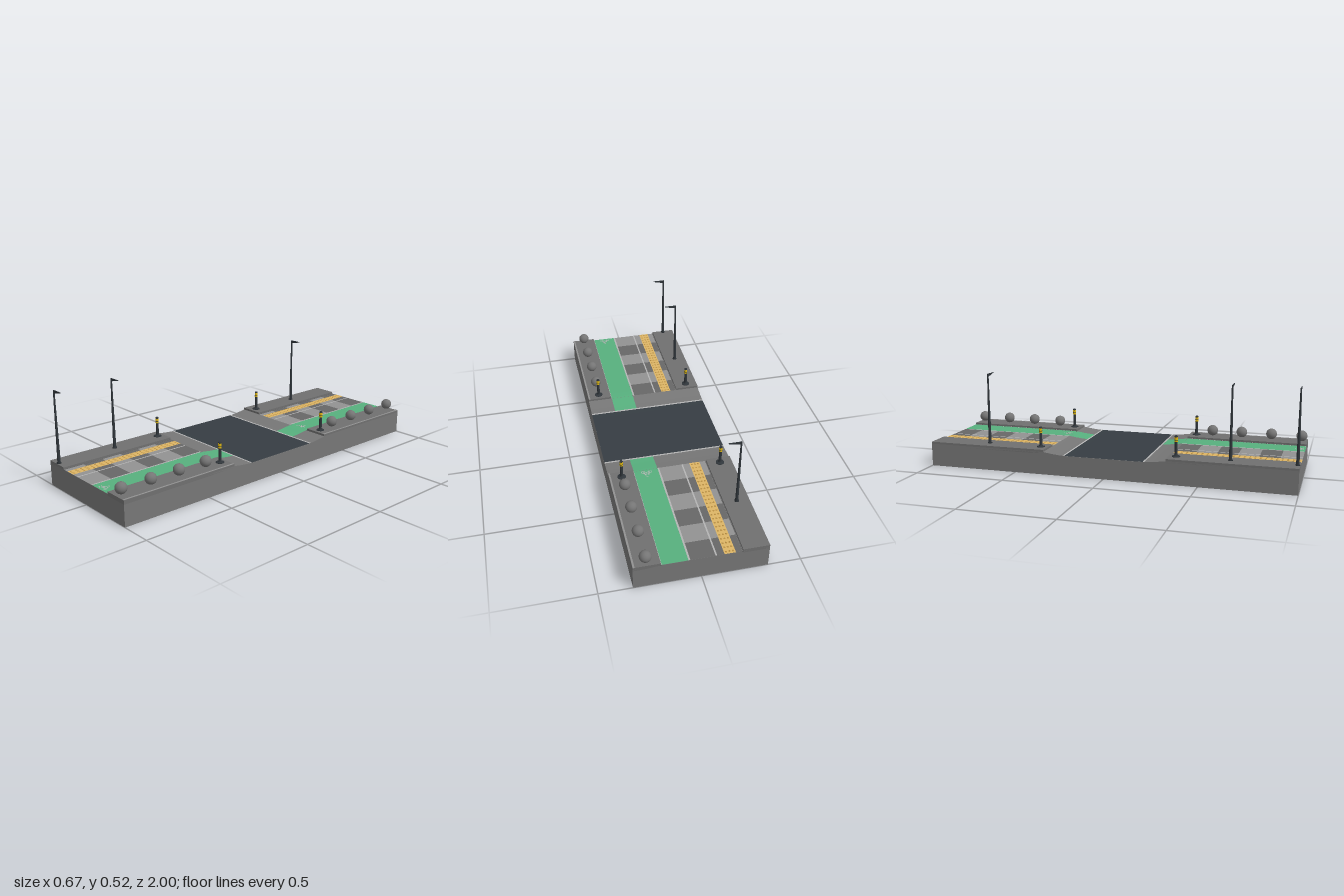
import * as THREE from 'three';
import { mergeGeometries } from 'three/addons/utils/BufferGeometryUtils.js';

const mat = (color, extra = {}) => new THREE.MeshStandardMaterial({ color, ...extra });
const M = {
  concrete: mat(0x777777), paving: mat(0x707070), slabLight: mat(0x929292), slabDark: mat(0x676767),
  line: mat(0xb4b4b4), asphalt: mat(0x363d43), green: mat(0x57b07e), tactile: mat(0xdcb566),
  stud: mat(0xb98f42), metal: mat(0x30363b), yellow: mat(0xe0b810), stone: mat(0x757575),
};
const W = 0.333, PATH = 0.1235, ROAD = 0.11, WALK = 0.135, RAMP = 0.335;

// ground height along the street: flat path, curved ramp, flat road
function height(z) {
  const t = THREE.MathUtils.clamp((Math.abs(z) - 0.2) / (RAMP - 0.2), 0, 1);
  return ROAD + (PATH - ROAD) * Math.pow(t, 1.6);
}

function add(parent, name, geometry, material, x = 0, y = 0, z = 0) {
  const mesh = new THREE.Mesh(geometry, material);
  mesh.name = name;
  mesh.position.set(x, y, z);
  parent.add(mesh);
  return mesh;
}

// thin surface strip that follows the ground
function strip(parent, name, material, x0, x1, z0, z1, lift) {
  const g = new THREE.PlaneGeometry(x1 - x0, z1 - z0, 1, 24).rotateX(-Math.PI / 2);
  g.translate((x0 + x1) / 2, 0, (z0 + z1) / 2);
  const p = g.attributes.position;
  for (let i = 0; i < p.count; i++) p.setY(i, height(p.getZ(i)) + lift);
  g.computeVertexNormals();
  return add(parent, name, g, material);
}

function lathe(points, segments = 20) {
  return new THREE.LatheGeometry(points.map(([r, y]) => new THREE.Vector2(r, y)), segments);
}

function bollard(x, z) {
  const b = new THREE.Group();
  b.name = 'bollard';
  b.position.set(x, WALK, z);
  const flat = M.metalFlat ??= mat(0x30363b, { flatShading: true });
  add(b, 'bollardPost', lathe([[0, 0], [0.022, 0], [0.022, 0.003], [0.011, 0.006], [0.008, 0.012],
    [0.0075, 0.104], [0.0085, 0.104], [0.0085, 0.108], [0.006, 0.111], [0, 0.112]]), flat);
  for (const [y, h] of [[0.082, 0.009], [0.096, 0.013]])
    add(b, 'bollardBand', new THREE.CylinderGeometry(0.0088, 0.0088, h, 20), M.yellow, 0, y, 0);
  add(b, 'bollardRing', new THREE.CylinderGeometry(0.0092, 0.0092, 0.003, 20), M.metal, 0, 0.088, 0);
  return b;
}

function lamp(z) {
  const l = new THREE.Group();
  l.name = 'streetLamp';
  l.position.set(-0.267, WALK, z);
  add(l, 'lampPole', lathe([[0, 0], [0.012, 0], [0.012, 0.004], [0.0085, 0.006],
    [0.0065, 0.17], [0.004, 0.385], [0, 0.385]], 12), M.metal);
  // tapered blade reaching over the path
  const s = new THREE.Shape([[0, 0.368], [0.064, 0.382], [0.064, 0.385], [0, 0.385]]
    .map(([x, y]) => new THREE.Vector2(x, y)));
  const arm = new THREE.ExtrudeGeometry(s, { depth: 0.004, bevelEnabled: false });
  add(l, 'lampArm', arm, M.metal, 0, 0, -0.002);
  return l;
}

// small cycle marking: two wheels and a frame
function cycleMark(z) {
  const parts = [];
  const bar = (x0, z0, x1, z1) => {
    const g = new THREE.BoxGeometry(Math.hypot(x1 - x0, z1 - z0), 0.0006, 0.003);
    g.rotateY(-Math.atan2(z1 - z0, x1 - x0));
    parts.push(g.translate((x0 + x1) / 2, 0, (z0 + z1) / 2));
  };
  for (const x of [-0.018, 0.018])
    parts.push(new THREE.RingGeometry(0.008, 0.011, 20).rotateX(-Math.PI / 2).translate(x, 0.0003, 0.012));
  bar(-0.018, 0.012, -0.009, -0.008);
  bar(-0.009, -0.008, 0.01, -0.008);
  bar(0.018, 0.012, 0.005, -0.022);
  bar(-0.009, -0.008, 0, 0.012);
  bar(0, 0.012, 0.01, -0.008);
  bar(-0.018, 0.012, 0, 0.012);
  bar(-0.004, -0.022, 0.005, -0.022);
  const m = new THREE.Mesh(mergeGeometries(parts), M.line);
  m.name = 'cycleMark';
  m.position.set(0.13, PATH + 0.0022, z);
  return m;
}

export function createModel() {
  const root = new THREE.Group();
  root.name = 'streetCrossing';

  // ground block, its side profile swept across the width
  const profile = new THREE.Shape();
  profile.moveTo(-1, 0).lineTo(1, 0).lineTo(1, PATH);
  for (let i = 0; i <= 12; i++) {
    const z = RAMP - (RAMP - 0.2) * i / 12;
    profile.lineTo(z, height(z));
  }
  for (let i = 0; i <= 12; i++) {
    const z = -0.2 - (RAMP - 0.2) * i / 12;
    profile.lineTo(z, height(z));
  }
  profile.lineTo(-1, PATH);
  const block = new THREE.ExtrudeGeometry(profile, { depth: 2 * W, bevelEnabled: false });
  add(root, 'groundBlock', block.rotateY(-Math.PI / 2).translate(W, 0, 0), M.concrete);

  // road and its edge lines
  strip(root, 'road', M.asphalt, -W, W, -0.218, 0.218, 0.0008);
  for (const s of [-1, 1]) strip(root, 'roadEdgeLine', M.line, -W, W, s * 0.219 - 0.005, s * 0.219 + 0.005, 0.0015);

  for (const s of [-1, 1]) {
    const half = new THREE.Group();
    half.name = s > 0 ? 'frontHalf' : 'backHalf';
    root.add(half);
    const span = (a, b) => (s > 0 ? [a, b] : [-b, -a]);
    const len = 1 - RAMP, mid = s * (1 + RAMP) / 2;

    // raised pavements with kerbs
    for (const side of [-1, 1]) {
      const h = WALK - PATH + 0.01;
      add(half, 'pavement', new THREE.BoxGeometry(0.133, h, len), M.paving, side * 0.2665, WALK - h / 2, mid);
      add(half, 'gutter', new THREE.BoxGeometry(0.006, 0.008, len), M.slabDark, side * 0.2, PATH - 0.002, mid);
    }
    add(half, 'outerKerb', new THREE.BoxGeometry(0.009, 0.002, len), M.slabLight, 0.3275, WALK, mid);

    // alternating slabs of the footpath
    const step = len / 6;
    for (let i = 0; i < 6; i++) {
      const a = RAMP + i * step;
      const light = (i % 2 === 0) === (s < 0);
      strip(half, 'footpathSlab', light ? M.slabLight : M.slabDark, -0.195, 0.06, ...span(a, a + step), 0.0006);
    }
    // lane lines and cycle lane
    strip(half, 'laneLine', M.line, -0.072, -0.064, ...span(RAMP, 1), 0.0015);
    strip(half, 'laneLine', M.line, 0.058, 0.067, ...span(RAMP, 1), 0.0015);
    strip(half, 'laneLine', M.line, 0.195, 0.2, ...span(RAMP, 1), 0.0015);
    strip(half, 'cycleLane', M.green, 0.067, 0.195, ...span(0.224, 1), 0.0012);

    // tactile guide strip with rows of studs
    strip(half, 'tactileStrip', M.tactile, -0.164, -0.108, ...span(RAMP, 1), 0.0015);
    const studs = [];
    for (let r = 0; r < 24; r++)
      for (let c = -1; c <= 1; c++)
        studs.push(new THREE.CylinderGeometry(0.004, 0.006, 0.0015, 8)
          .translate(-0.136 + c * 0.017, PATH + 0.002, s * (RAMP + (r + 0.5) * len / 24)));
    add(half, 'tactileStuds', mergeGeometries(studs), M.stud);

    // stone balls along the outer pavement
    for (let i = 0; i < 4; i++)
      add(half, 'stoneBall', new THREE.SphereGeometry(0.03, 24, 16), M.stone, 0.267, 0.167, s * (0.468 + i * 0.167));

    for (const side of [-1, 1]) half.add(bollard(side * 0.267, s * 0.374));
  }

  for (const z of [0.987, 0.655, -0.676]) root.add(lamp(z));
  for (const z of [0.968, -0.368]) root.add(cycleMark(z));
  return root;
}
